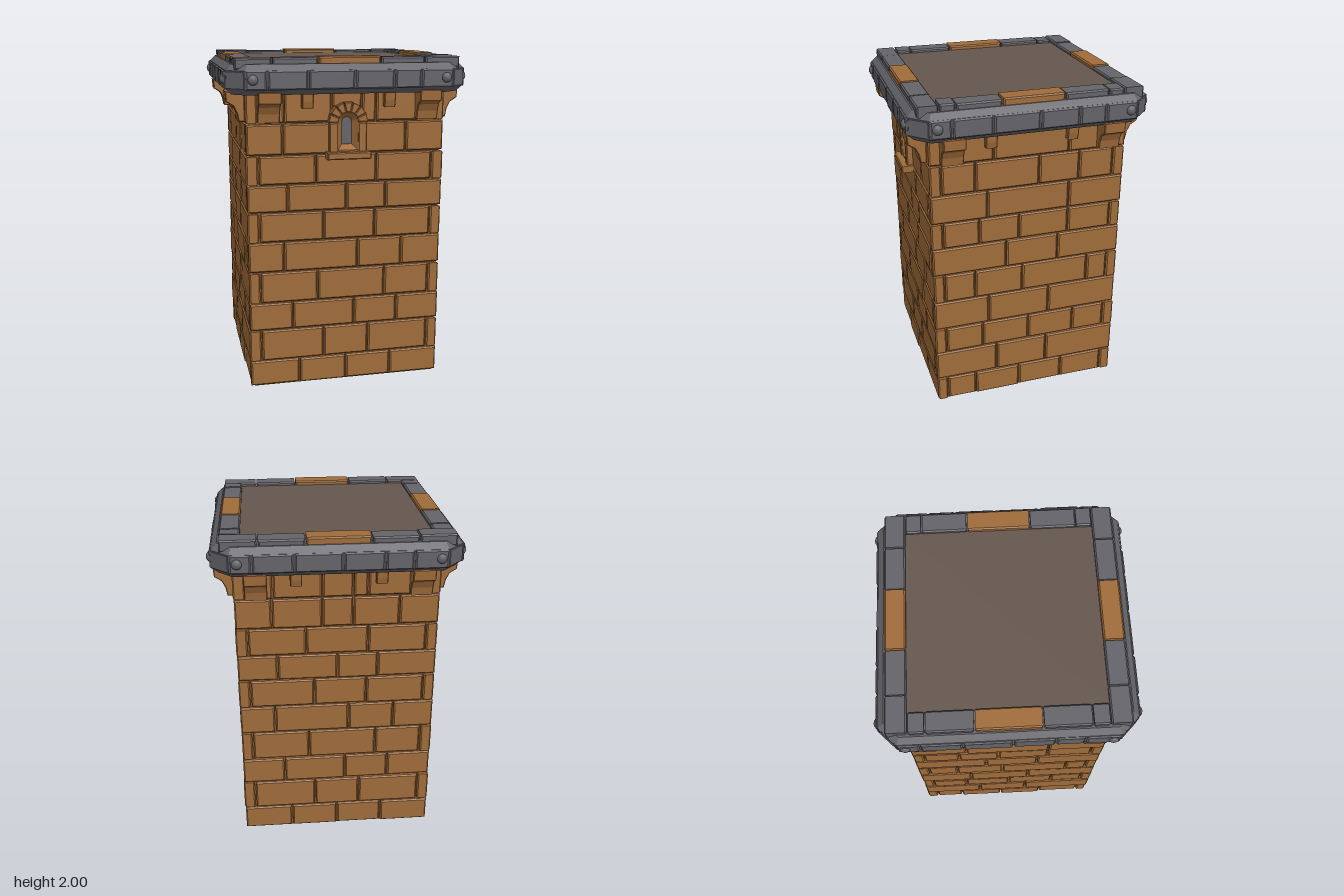
import * as THREE from 'three';

const mat = (name, color) => Object.assign(new THREE.MeshStandardMaterial({ color }), { name });

export function createModel() {
  const brick = mat('brown brick', 0xa06c3a);
  const stone = mat('grey stone', 0x636369);
  const roofMat = mat('roof floor', 0x64574f);
  const root = new THREE.Group();
  root.name = 'squareTower';

  let seed = 7;
  const rand = () => (seed = (seed * 16807) % 2147483647) / 2147483647;

  const add = (parent, name, geo, material, x = 0, y = 0, z = 0) => {
    const m = new THREE.Mesh(geo, material);
    m.name = name;
    m.position.set(x, y, z);
    parent.add(m);
    return m;
  };
  const poly = pts => new THREE.Shape(pts.map(p => new THREE.Vector2(...p)));
  const extrude = (shape, depth, b, size = b, offset = -size) => new THREE.ExtrudeGeometry(shape, {
    depth: depth - 2 * b, bevelEnabled: b > 0, bevelThickness: b, bevelSize: size,
    bevelOffset: offset, bevelSegments: 1, curveSegments: 8 });
  // Centred block with chamfered edges
  const block = (w, h, d, b) => extrude(
    poly([[-w / 2, -h / 2], [w / 2, -h / 2], [w / 2, h / 2], [-w / 2, h / 2]]), d, b).center();
  // Chamfered block filling x0..x1, y0..y1, z0..z1
  const fill = (parent, name, material, x0, x1, y0, y1, z0, z1, b = 0.008) =>
    add(parent, name, block(x1 - x0, y1 - y0, z1 - z0, b), material,
      (x0 + x1) / 2, (y0 + y1) / 2, (z0 + z1) / 2);

  // Solid core, inside the brick skin
  add(root, 'core', new THREE.BoxGeometry(1.14, 1.8, 1.14), brick, 0, 0.9, 0);

  // Brick courses: joints along the front and along the side
  const levels = [0.005, 0.167, 0.364, 0.537, 0.73, 0.915, 1.095, 1.26, 1.435, 1.62, 1.805];
  const frontJoints = [[-0.29, 0, 0.285], [-0.14, 0.14], [-0.33, 0.05, 0.32], [-0.175, 0.24],
    [-0.38, 0.07, 0.345], [-0.14, 0.175], [-0.355, 0, 0.24], [-0.185, 0.18],
    [-0.38, -0.09, 0.09, 0.36], [-0.37, -0.09, 0.09, 0.175]];
  const sideJoints = [[-0.34, -0.05, 0.24], [-0.2, 0.13], [-0.29, 0.01, 0.31], [-0.25, 0.14],
    [-0.335, -0.035, 0.39], [-0.14, 0.19], [-0.305, -0.06, 0.25], [-0.255, 0.25],
    [-0.325, 0.06, 0.31], [-0.215, 0.24]];

  const corbelProfile = [[0, 0], [0.035, 0], [0.045, 0.05], [0.065, 0.09], [0.105, 0.115], [0.11, 0.175], [0, 0.175]];
  const smallProfile = [[0, 0], [0.03, 0], [0.04, 0.04], [0.045, 0.1], [0, 0.1]];
  const corbel = (profile, w) => extrude(poly(profile), w, 0.005).rotateY(-Math.PI / 2).translate(w / 2, 0, 0);

  const names = ['front', 'left', 'back', 'right'];
  names.forEach((side, k) => {
    const wall = new THREE.Group();
    wall.name = side + 'Wall';
    wall.rotation.y = k * Math.PI / 2;
    root.add(wall);

    // Interlocking bricks: courses alternate which wall reaches the corner
    (k % 2 ? sideJoints : frontJoints).forEach((joints, r) => {
      const end = (r + k) % 2 ? 0.523 : 0.595;
      const xs = [-end, ...joints, end];
      for (let i = 0; i + 1 < xs.length; i++) {
        const windowGap = k === 0 && r >= 8 && xs[i] === -0.09;
        if (windowGap && r === 8) continue;
        const y0 = windowGap ? 1.71 : levels[r] + 0.004;
        fill(wall, 'brick', brick, xs[i] + 0.004, xs[i + 1] - 0.004, y0, levels[r + 1] - 0.004,
          0.527, 0.588 + rand() * 0.008);
      }
    });

    // Corbels under the crown
    for (const s of [-1, 1]) {
      add(wall, 'largeCorbel', corbel(corbelProfile, 0.13), brick, s * 0.47, 1.63, 0.59);
      add(wall, 'smallCorbel', corbel(smallProfile, 0.068), brick, s * 0.243, 1.705, 0.59);
      const rivet = add(wall, 'rivet', new THREE.SphereGeometry(0.03, 12, 8), stone, s * 0.56, 1.877, 0.707);
      rivet.scale.z = 0.75;
    }

    // Facing stones around the crown
    const band = [-0.605, -0.48, -0.25, 0.02, 0.25, 0.41, 0.605];
    for (let i = 0; i < 6; i++)
      fill(wall, 'crownFacing', stone, band[i] + 0.005, band[i + 1] - 0.005, 1.82, 1.927,
        0.66, 0.71 + rand() * 0.005);
    const corner = add(wall, 'crownCorner', block(0.14, 0.107, 0.05, 0.008), stone, 0.636, 1.873, 0.636);
    corner.rotation.y = Math.PI / 4;

    // Parapet with a brown stone in the middle of each side
    const end = k % 2 ? 0.538 : 0.658;
    const caps = [-end, -0.445, -0.182, 0.182, 0.445, end];
    for (let i = 0; i < 5; i++)
      fill(wall, i === 2 ? 'brownCapstone' : 'capstone', i === 2 ? brick : stone,
        caps[i] + 0.004, caps[i + 1] - 0.004, 1.93, i === 2 ? 2 : 1.992 + rand() * 0.006, 0.54, 0.658);
  });

  // Crown slab with cut corners
  const a = 0.702, c = 0.6;
  const slab = extrude(poly([[-c, -a], [c, -a], [a, -c], [a, c], [c, a], [-c, a], [-a, c], [-a, -c]]), 0.17, 0.035);
  add(root, 'crownSlab', slab.center().rotateX(Math.PI / 2), stone, 0, 1.876, 0);

  // Roof floor inside the parapet
  add(root, 'roofFloor', new THREE.BoxGeometry(1.084, 0.04, 1.084), roofMat, 0, 1.955, 0);

  // Arched window on the front
  const win = new THREE.Group();
  win.name = 'archedWindow';
  root.add(win);
  const arch = (shape, r, y0, y1) => {
    shape.moveTo(-r, y0).lineTo(r, y0).lineTo(r, y1);
    shape.absarc(0, y1, r, 0, Math.PI, false);
    return shape.lineTo(-r, y0);
  };
  const splay = arch(new THREE.Shape(), 0.09, 1.44, 1.62);
  splay.holes.push(arch(new THREE.Path(), 0.06, 1.46, 1.62));
  add(win, 'splayedRecess', extrude(splay, 0.09, 0.04, 0.03, 0), brick, 0, 0, 0.57);
  const pane = new THREE.ShapeGeometry(arch(new THREE.Shape(), 0.05, 1.45, 1.62), 8);
  add(win, 'windowPane', pane, stone, 0, 0, 0.574);

  // Jambs, arch stones and sill
  for (const s of [-1, 1])
    fill(win, 'jamb', brick, s * 0.086 - 0.026, s * 0.086 + 0.026, 1.445, 1.62, 0.55, 0.628, 0.006);
  const n = 7;
  for (let i = 0; i < n; i++) {
    const t0 = i * Math.PI / n + 0.02, t1 = (i + 1) * Math.PI / n - 0.02;
    const at = (r, t) => [r * Math.cos(t), r * Math.sin(t)];
    const wedge = poly([at(0.06, t0), at(0.118, t0), at(0.118, t1), at(0.06, t1)]);
    add(win, 'archStone', extrude(wedge, 0.078, 0.004), brick, 0, 1.622, 0.554);
  }
  fill(win, 'sill', brick, -0.13, 0.13, 1.41, 1.452, 0.56, 0.665, 0.006);

  return root;
}
